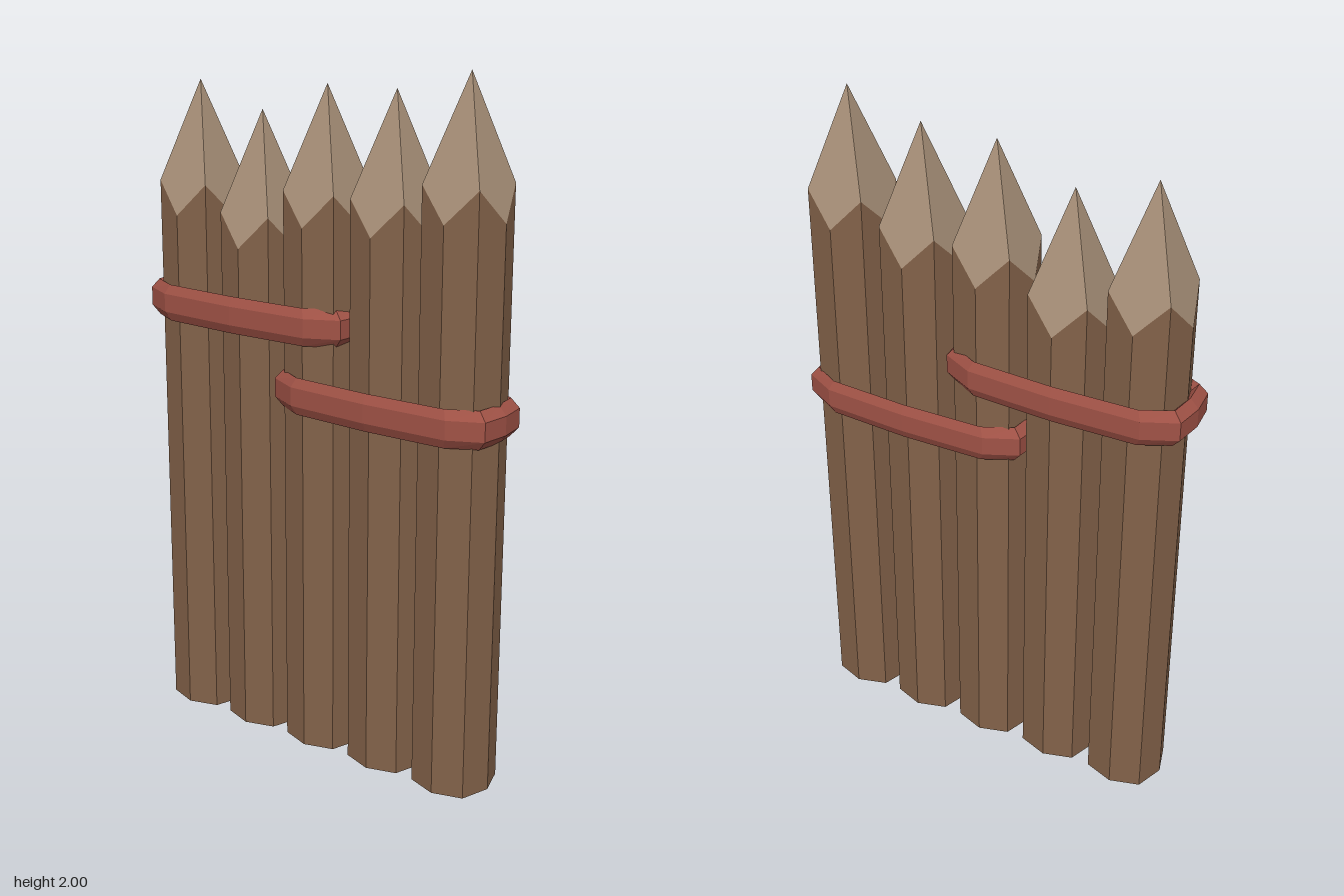
import * as THREE from 'three';

const wood = new THREE.MeshStandardMaterial({ color: 0x836249 });
wood.name = 'bark brown';
const cutWood = new THREE.MeshStandardMaterial({ color: 0xa89078 });
cutWood.name = 'cut wood tan';
const ropeRed = new THREE.MeshStandardMaterial({ color: 0xa05246 });
ropeRed.name = 'rope red';

// Faceted skin over a list of equally long rings of points
function loft(rings, closed = false) {
  const pos = [];
  const tri = (a, b, c) => {
    if (a.equals(b) || b.equals(c) || a.equals(c)) return;
    for (const p of [a, b, c]) pos.push(p.x, p.y, p.z);
  };
  const count = closed ? rings.length : rings.length - 1;
  for (let r = 0; r < count; r++) {
    const lo = rings[r], hi = rings[(r + 1) % rings.length];
    for (let i = 0; i < lo.length; i++) {
      const k = (i + 1) % lo.length;
      tri(lo[i], hi[i], hi[k]);
      tri(lo[i], hi[k], lo[k]);
    }
  }
  const geo = new THREE.BufferGeometry();
  geo.setAttribute('position', new THREE.Float32BufferAttribute(pos, 3));
  geo.computeVertexNormals();
  return geo;
}

function part(name, geo, material) {
  const mesh = new THREE.Mesh(geo, material);
  mesh.name = name;
  return mesh;
}

// Eight-sided post, sharpened by four slanted cuts
function makeStake(x, height) {
  const AXIS = 0.115, DIAG = 0.087, SLOPE = 3.3;
  const ring = (fn) => Array.from({ length: 8 }, (_, i) => {
    const a = (i * Math.PI) / 4;
    const r = i % 2 ? DIAG * Math.SQRT2 : AXIS;
    return fn(r * Math.cos(a), r * Math.sin(a), i % 2 ? DIAG : AXIS);
  });
  const centre = ring(() => new THREE.Vector3(0, 0, 0));
  const foot = ring((px, pz) => new THREE.Vector3(px, 0, pz));
  const cut = ring((px, pz, d) => new THREE.Vector3(px, height - SLOPE * d, pz));
  const apex = ring(() => new THREE.Vector3(0, height, 0));
  const stake = new THREE.Group();
  stake.name = 'stake';
  stake.add(part('stakePost', loft([centre, foot, cut]), wood));
  stake.add(part('stakePoint', loft([cut, apex]), cutWood));
  stake.position.x = x;
  return stake;
}

// Flattened rope loop with a six-sided section around three stakes
function makeRope(x, y) {
  // Outer and inner edge of one quarter: [outer x, outer z, inner x, inner z]
  const quarter = [
    [0.364, 0, 0.314, 0],
    [0.353, 0.086, 0.307, 0.068],
    [0.258, 0.133, 0.235, 0.108],
    [0, 0.143, 0, 0.117],
  ];
  const mirror = (list, sx, sz) => list.map(([a, b, c, d]) => [a * sx, b * sz, c * sx, d * sz]);
  const back = quarter.slice(0, 3).reverse();
  const path = [
    ...quarter,
    ...mirror(back, -1, 1),
    ...mirror(quarter.slice(1), -1, -1),
    ...mirror(back.slice(0, 2), 1, -1),
  ];
  const FLAT = 0.027, TALL = 0.054;
  // [blend from outer to inner edge, height]
  const section = [[0, FLAT], [0, -FLAT], [0.5, -TALL], [1, -FLAT], [1, FLAT], [0.5, TALL]];
  const rings = path.map(([ox, oz, ix, iz]) => section.map(([t, h]) =>
    new THREE.Vector3(ox + (ix - ox) * t, h, oz + (iz - oz) * t)));
  const rope = part('ropeBinding', loft(rings, true), ropeRed);
  rope.position.set(x, y, 0);
  return rope;
}

export function createModel() {
  const model = new THREE.Group();
  model.name = 'palisade';
  const stakes = [[-0.453, 1.927], [-0.223, 1.857], [0.006, 1.941], [0.236, 1.941], [0.465, 2]];
  for (const [x, height] of stakes) model.add(makeStake(x, height));
  model.add(makeRope(-0.236, 1.288), makeRope(0.236, 1.086));
  return model;
}
